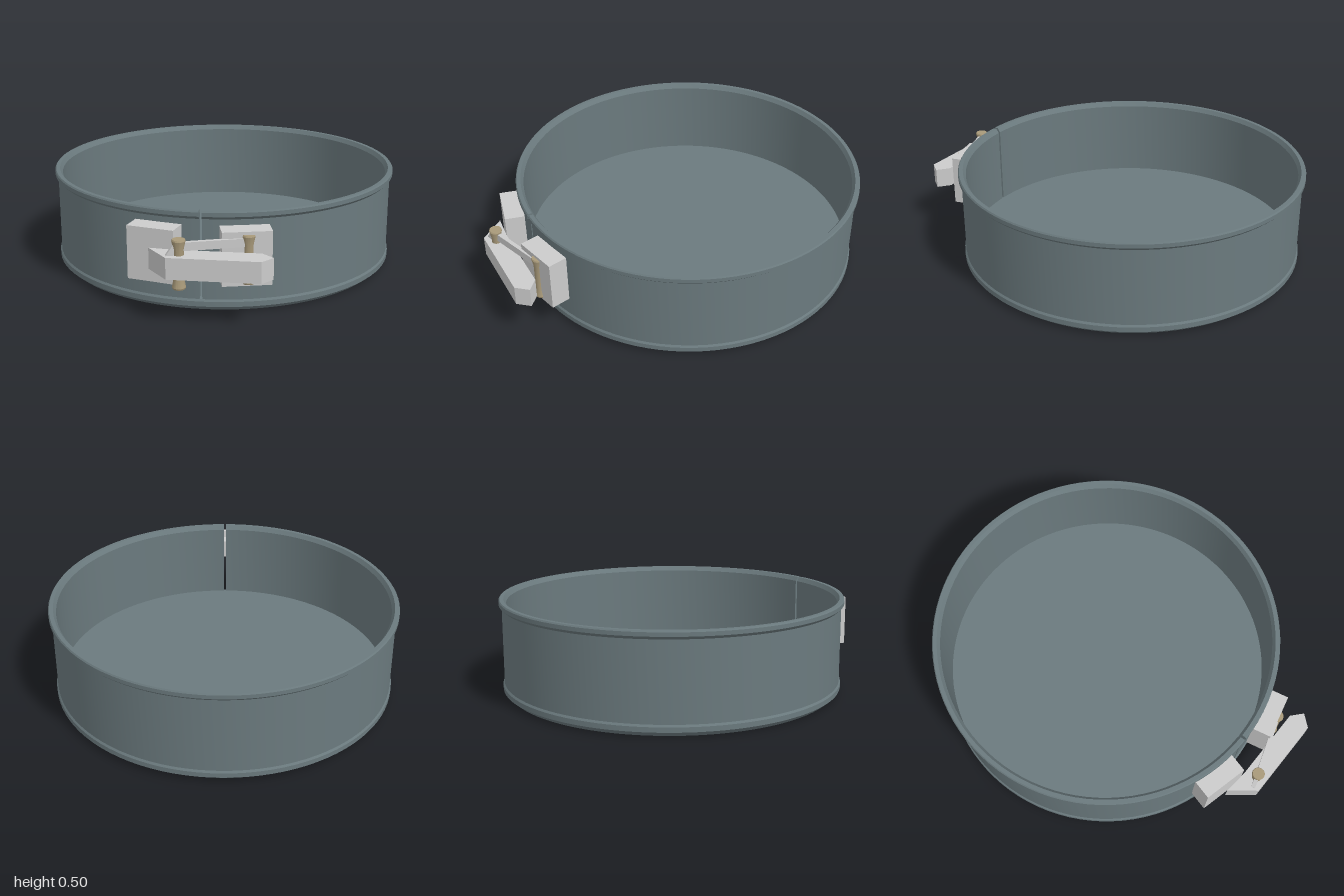
import * as THREE from 'three';
import { toCreasedNormals } from 'three/addons/utils/BufferGeometryUtils.js';

const PAN = new THREE.MeshStandardMaterial({ color: 0x6b7a7e });
const CLIP = new THREE.MeshStandardMaterial({ color: 0xbfc3c1 });
const BRASS = new THREE.MeshStandardMaterial({ color: 0xa99a7a });

const vecs = (pts) => pts.map(([x, y]) => new THREE.Vector2(x, y));

function add(parent, name, geometry, material, x = 0, y = 0, z = 0) {
  const mesh = new THREE.Mesh(geometry, material);
  mesh.name = name;
  mesh.position.set(x, y, z);
  parent.add(mesh);
  return mesh;
}

function lathe(pts, segments, start = 0, length = Math.PI * 2) {
  return toCreasedNormals(new THREE.LatheGeometry(vecs(pts), segments, start, length), 0.4);
}

function extrude(pts, depth) {
  return new THREE.ExtrudeGeometry(new THREE.Shape(vecs(pts)), { depth, bevelEnabled: false });
}

export function createModel() {
  const model = new THREE.Group();
  const pan = new THREE.Group();
  pan.name = 'pan';
  pan.position.z = -0.1;
  model.add(pan);

  // Base: chamfered disc whose top is the floor of the pan
  add(pan, 'base', lathe([
    [0, 0], [0.862, 0], [0.892, 0.025], [0.892, 0.05], [0.885, 0.06], [0.87, 0.067], [0, 0.067],
  ], 96), PAN);

  // Split wall with a thick rim, open by a narrow slit at the front
  const profile = [
    [0.861, 0.03], [0.885, 0.03], [0.885, 0.455], [0.9, 0.47], [0.9, 0.49],
    [0.895, 0.497], [0.875, 0.497], [0.861, 0.475], [0.861, 0.03],
  ];
  const gap = 0.007;
  add(pan, 'wall', lathe(profile, 96, gap, Math.PI * 2 - 2 * gap), PAN);
  const endMaterial = PAN.clone();
  endMaterial.side = THREE.DoubleSide;
  for (const s of [-1, 1]) {
    const end = add(pan, 'wallEnd', new THREE.ShapeGeometry(new THREE.Shape(vecs(profile.slice(0, -1)))), endMaterial);
    end.rotation.y = -Math.PI / 2 + s * gap;
  }

  // Clasp
  const clasp = new THREE.Group();
  clasp.name = 'clasp';
  model.add(clasp);

  // Mounting blocks, tangent to the wall
  for (const s of [-1, 1]) {
    const block = add(clasp, s > 0 ? 'leftBlock' : 'rightBlock',
      new THREE.BoxGeometry(0.232, 0.26, 0.1), CLIP, s * 0.212, 0.297, 0.809);
    block.rotation.y = s * 0.235;
  }

  // Lever: plan outline extruded upward
  const lever = extrude([
    [-0.227, -0.877], [-0.127, -1], [0.3, -1], [0.35, -0.94], [0.293, -0.89], [-0.1, -0.89],
  ], 0.103);
  lever.rotateX(-Math.PI / 2);
  add(clasp, 'lever', lever, CLIP, 0, 0.236, 0);

  // Spool-shaped pins
  const spool = lathe([
    [0, 0.177], [0.029, 0.177], [0.032, 0.185], [0.024, 0.225],
    [0.024, 0.365], [0.032, 0.405], [0.029, 0.412], [0, 0.412],
  ], 24);
  add(clasp, 'leverPin', spool, BRASS, -0.075, 0, 0.95);
  add(clasp, 'blockPin', spool, BRASS, 0.228, 0, 0.845);

  // Link bar joining the two pins, with a sloped end
  const link = extrude([
    [-0.06, 0.325], [-0.02, 0.325], [0, 0.357], [0.325, 0.357], [0.325, 0.397], [-0.02, 0.397], [-0.06, 0.34],
  ], 0.02);
  link.translate(0, 0, -0.01);
  add(clasp, 'link', link, CLIP, -0.075, 0, 0.95).rotation.y = 0.32;

  return model;
}
